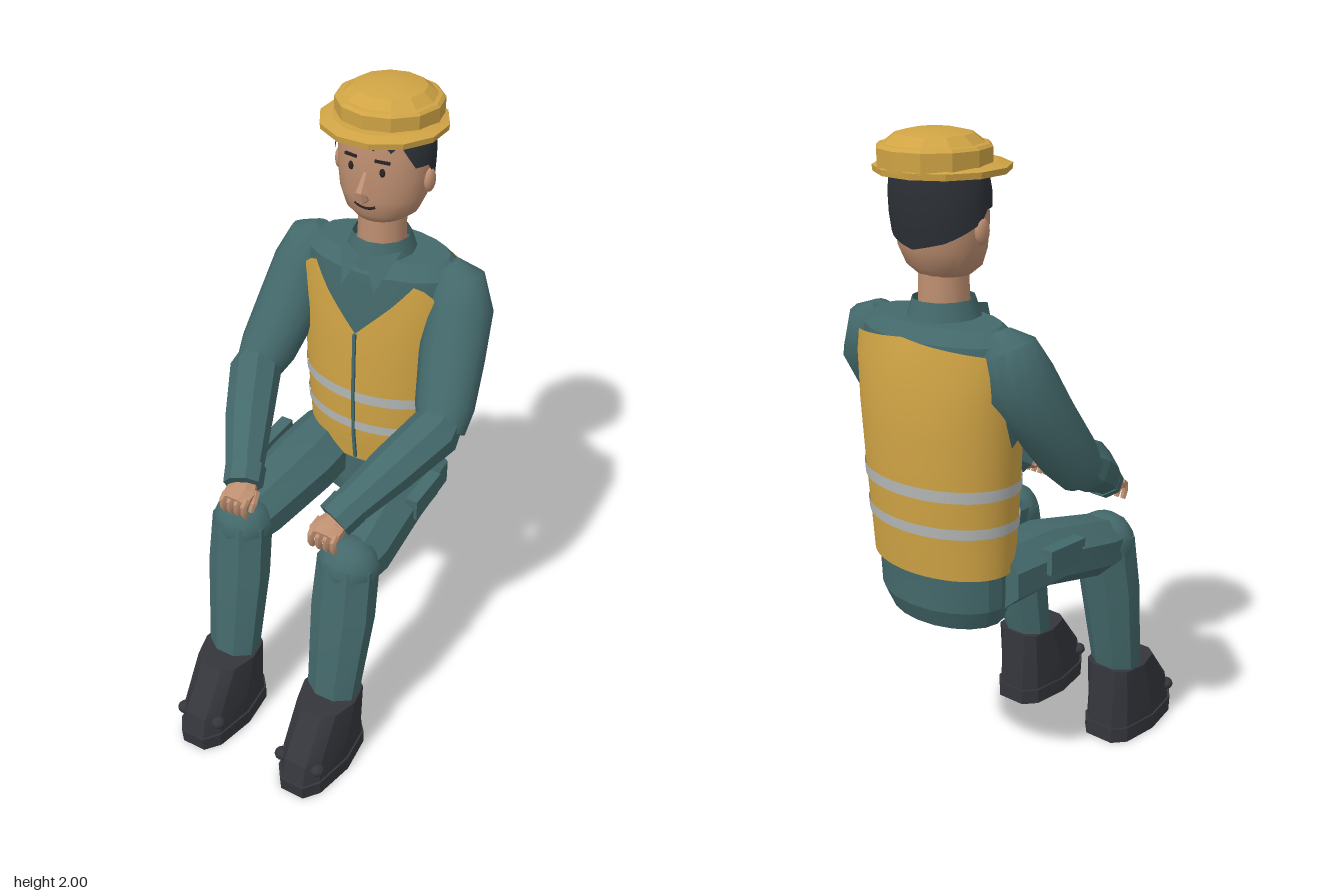
import * as THREE from 'three';
import { toCreasedNormals } from 'three/addons/utils/BufferGeometryUtils.js';

const mat = (name, color, side = THREE.FrontSide) => {
  const m = new THREE.MeshStandardMaterial({ color, side });
  m.name = name;
  return m;
};
const V = (x, y, z) => new THREE.Vector3(x, y, z);

// Piecewise linear lookup in rows [key, value, value...]
function at(rows, k) {
  let i = 1;
  while (i < rows.length - 1 && rows[i][0] < k) i++;
  const a = rows[i - 1], b = rows[i];
  const t = THREE.MathUtils.clamp((k - a[0]) / (b[0] - a[0]), 0, 1);
  return a.slice(1).map((v, n) => v + (b[n + 1] - v) * t);
}

// Skin over closed rings of points
function loft(rings, caps = true, crease = 0.5) {
  const n = rings[0].length, pos = [], idx = [];
  rings.forEach(r => r.forEach(p => pos.push(p.x, p.y, p.z)));
  for (let i = 0; i < rings.length - 1; i++) for (let j = 0; j < n; j++) {
    const a = i * n + j, b = i * n + (j + 1) % n;
    idx.push(a, b, b + n, a, b + n, a + n);
  }
  if (caps) [0, rings.length - 1].forEach((i, end) => {
    const c = rings[i].reduce((s, p) => s.add(p), V(0, 0, 0)).divideScalar(n);
    const k = pos.length / 3;
    pos.push(c.x, c.y, c.z);
    for (let j = 0; j < n; j++) {
      const a = i * n + j, b = i * n + (j + 1) % n;
      idx.push(k, end ? a : b, end ? b : a);
    }
  });
  const g = new THREE.BufferGeometry();
  g.setAttribute('position', new THREE.Float32BufferAttribute(pos, 3));
  g.setIndex(idx);
  return toCreasedNormals(g, crease);
}

// Limb through stations [x, y, z, half width, half depth]
function limb(st, sides = 8, crease = 0.5) {
  const p = st.map(s => V(s[0], s[1], s[2]));
  return loft(st.map((s, i) => {
    const T = p[Math.min(i + 1, p.length - 1)].clone().sub(p[Math.max(i - 1, 0)]).normalize();
    const S = V(1, 0, 0).addScaledVector(T, -T.x).normalize();
    const U = S.clone().cross(T);
    return Array.from({ length: sides }, (_, j) => {
      const a = (j + 0.5) / sides * Math.PI * 2;
      return p[i].clone().addScaledVector(S, Math.sin(a) * s[3]).addScaledVector(U, Math.cos(a) * s[4]);
    });
  }), true, crease);
}

// Body profiles: y, half width, front z, back z
const BODY = [[0.62, 0.19, -0.2, -0.455], [0.68, 0.215, -0.19, -0.48], [0.79, 0.22, -0.2, -0.48],
  [0.9, 0.225, -0.185, -0.49], [1.05, 0.235, -0.178, -0.5], [1.25, 0.25, -0.18, -0.503],
  [1.38, 0.262, -0.19, -0.492], [1.46, 0.255, -0.2, -0.48], [1.5, 0.21, -0.235, -0.45]];
const HEAD = [[1.615, 0.075, -0.24, -0.385], [1.64, 0.11, -0.222, -0.41], [1.69, 0.132, -0.215, -0.428],
  [1.76, 0.142, -0.212, -0.44], [1.84, 0.142, -0.212, -0.445], [1.91, 0.13, -0.225, -0.44]];

function skinPoint(profile, y, a, off = 0) {
  const [w, f, b] = at(profile, y);
  return V((w + off) * Math.sin(a), y, (f + b) / 2 + ((f - b) / 2 + off) * Math.cos(a));
}
// Layer over a profile, between two heights that may vary with the angle from the front
function shell(profile, off, low, high, segs, rows, crease = 0.5) {
  return loft(Array.from({ length: rows + 1 }, (_, i) => Array.from({ length: segs }, (_, j) => {
    const a = j / segs * Math.PI * 2, k = Math.min(a, Math.PI * 2 - a);
    const y = THREE.MathUtils.lerp(low(k, j), high(k, j), i / rows);
    return skinPoint(profile, y, a, off);
  })), false, crease);
}
const solid = (profile, segs, crease) => loft(profile.map(r =>
  Array.from({ length: segs }, (_, j) => skinPoint(profile, r[0], j / segs * Math.PI * 2))), true, crease);

export function createModel() {
  const root = new THREE.Group();
  const cloth = mat('teal cloth', 0x44696b), clothOpen = mat('teal cloth open', 0x44696b, THREE.DoubleSide);
  const yellow = mat('safety yellow', 0xd0a445), vestMat = mat('vest yellow', 0xd0a445, THREE.DoubleSide);
  const silver = mat('reflective grey', 0xb4b8b6, THREE.DoubleSide);
  const skin = mat('skin', 0xbe8f71), hairMat = mat('hair', 0x2c3036, THREE.DoubleSide);
  const boot = mat('boot black', 0x34363c), ink = mat('face dark', 0x2a2322);

  const add = (name, geo, m, x = 0, y = 0, z = 0) => {
    const o = new THREE.Mesh(geo, m);
    o.name = name;
    o.position.set(x, y, z);
    root.add(o);
    return o;
  };
  const ball = (name, m, x, y, z, a, b, c) =>
    add(name, new THREE.SphereGeometry(1, 12, 8), m, x, y, z).scale.set(a, b, c);

  // Torso and vest
  add('torso', solid(BODY, 20, 0.35), cloth);
  const vestTop = [[0, 1.27], [0.68, 1.46], [0.96, 1.41], [1.2, 1.22], [1.6, 1.17], [1.9, 1.38], [2.05, 1.44], [3.14, 1.47]];
  add('vest', shell(BODY, 0.014, () => 0.79, k => at(vestTop, k)[0], 48, 10, 0.4), vestMat);
  [[1.03, 1.065], [0.92, 0.952]].forEach(([a, b]) =>
    add('reflectiveStripe', shell(BODY, 0.018, () => a, () => b, 48, 1), silver));
  add('vestZip', limb([0.8, 0.9, 1.05, 1.27].map(y => {
    const p = skinPoint(BODY, y, 0, 0.017);
    return [0, y, p.z, 0.007, 0.006];
  }), 4), cloth);

  // Collar and neck
  add('collar', new THREE.CylinderGeometry(0.088, 0.115, 0.08, 12, 1, true), clothOpen, 0, 1.51, -0.32);
  add('neck', new THREE.CylinderGeometry(0.07, 0.075, 0.18, 12), skin, 0, 1.56, -0.32);

  // Head, hair and ears
  add('head', solid(HEAD, 24, 1), skin);
  const hairLow = [[0, 1.875], [0.85, 1.87], [1.0, 1.8], [1.4, 1.8], [1.6, 1.77], [2.4, 1.72], [3.14, 1.695]];
  add('hair', shell(HEAD, 0.008, (k, j) => at(hairLow, k)[0] - (k < 0.9 && j % 2 ? 0.025 : 0),
    () => 1.91, 36, 4), hairMat);
  add('nose', limb([[0, 1.775, -0.217, 0.009, 0.008], [0, 1.725, -0.185, 0.017, 0.014],
    [0, 1.705, -0.19, 0.02, 0.015], [0, 1.695, -0.212, 0.014, 0.01]], 6), skin);
  const smile = add('mouth', new THREE.TorusGeometry(0.06, 0.004, 4, 10, 1.2), ink, 0, 1.727, -0.214);
  smile.rotation.z = -Math.PI / 2 - 0.6;

  // Hard hat
  const lathe = (pts, n) => toCreasedNormals(
    new THREE.LatheGeometry(pts.map(p => new THREE.Vector2(...p)), n), 0.2);
  add('hatBrim', lathe([[0, 1.895], [0.184, 1.888], [0.186, 1.905], [0.15, 1.915], [0, 1.915]], 12),
    yellow, 0, 0, -0.315).rotation.y = Math.PI / 12;
  add('hatCrown', lathe([[0.155, 1.9], [0.156, 1.955], [0.147, 1.963], [0.135, 1.965],
    [0.105, 1.988], [0.06, 1.998], [0, 2]], 12), yellow, 0, 0, -0.345);

  for (const s of [1, -1]) {
    const side = st => st.map(([x, ...r]) => [x * s, ...r]);

    // Collar flap
    const flap = new THREE.BufferGeometry().setFromPoints(
      [V(0.008 * s, 1.51, -0.205), V(0.1 * s, 1.535, -0.255), V(0.055 * s, 1.42, -0.178)]);
    flap.computeVertexNormals();
    if (s > 0) flap.setIndex([0, 2, 1]);
    flap.computeVertexNormals();
    add('collarFlap', flap, clothOpen);

    // Face details
    const eye = skinPoint(HEAD, 1.785, 0.36 * s);
    ball('eye', ink, eye.x, eye.y, eye.z, 0.009, 0.013, 0.006);
    const brow = skinPoint(HEAD, 1.818, 0.36 * s);
    add('eyebrow', new THREE.BoxGeometry(0.044, 0.008, 0.009), ink, brow.x, brow.y, brow.z)
      .rotation.set(0, 0.25 * s, -0.08 * s);
    ball('ear', skin, 0.145 * s, 1.745, -0.325, 0.015, 0.036, 0.025);

    // Arm
    add('upperArm', limb(side([[0.215, 1.49, -0.34, 0.03, 0.035], [0.24, 1.45, -0.34, 0.083, 0.08],
      [0.265, 1.36, -0.32, 0.1, 0.102], [0.285, 1.24, -0.245, 0.1, 0.09],
      [0.31, 1.12, -0.165, 0.09, 0.083], [0.325, 1.06, -0.12, 0.07, 0.07]]), 14, 0.9), cloth);
    add('forearm', limb(side([[0.325, 1.11, -0.15, 0.06, 0.055], [0.316, 1.075, -0.1, 0.08, 0.08],
      [0.25, 1.0, 0.04, 0.074, 0.068], [0.175, 0.91, 0.185, 0.057, 0.052]]), 8), cloth);
    add('cuff', limb(side([[0.182, 0.92, 0.165, 0.063, 0.058], [0.16, 0.89, 0.215, 0.061, 0.056]]), 8), cloth);

    // Hand
    add('palm', limb(side([[0.162, 0.885, 0.2, 0.04, 0.028], [0.155, 0.875, 0.235, 0.052, 0.028],
      [0.155, 0.865, 0.275, 0.048, 0.022]]), 8), skin);
    for (let i = 0; i < 4; i++) {
      const x = 0.155 + (i - 1.5) * 0.025;
      add('finger', limb(side([[x, 0.878, 0.26, 0.011, 0.012], [x, 0.865, 0.278, 0.011, 0.012],
        [x, 0.84, 0.277, 0.011, 0.011], [x, 0.82, 0.268, 0.009, 0.009]]), 6), skin);
    }
    add('thumb', limb(side([[0.115, 0.88, 0.215, 0.014, 0.014], [0.104, 0.86, 0.245, 0.012, 0.012],
      [0.108, 0.835, 0.255, 0.009, 0.009]]), 6), skin);

    // Leg
    add('thigh', limb(side([[0.155, 0.755, -0.315, 0.115, 0.1], [0.16, 0.755, -0.1, 0.125, 0.095],
      [0.188, 0.712, 0.12, 0.102, 0.095], [0.19, 0.71, 0.2, 0.09, 0.075]]), 8), cloth);
    ball('knee', cloth, 0.19 * s, 0.712, 0.178, 0.1, 0.09, 0.088);
    add('shin', limb(side([[0.19, 0.73, 0.183, 0.098, 0.08], [0.19, 0.55, 0.212, 0.104, 0.075],
      [0.187, 0.25, 0.262, 0.086, 0.064], [0.187, 0.18, 0.27, 0.07, 0.055]]), 8), cloth);
    add('thighPocket', new THREE.BoxGeometry(0.03, 0.07, 0.14), cloth, 0.272 * s, 0.785, -0.13).rotation.x = 0.05;
    add('pocketFlap', new THREE.BoxGeometry(0.04, 0.025, 0.155), cloth, 0.272 * s, 0.815, -0.13).rotation.x = 0.05;

    // Boot: plan outline scaled per height
    const half = [[0.4, 1], [0.76, 0.86], [1, 0.48], [0.86, 0.12], [0.5, 0]];
    const plan = [...half, ...half.map(([u, v]) => [-u, v]).reverse()];
    const bootPart = (name, rows) => add(name, loft(rows.map(([y, b, f, w]) =>
      plan.map(([u, v]) => V(0.188 * s + u * w, y, b + (f - b) * v))), true, 0.3), boot);
    bootPart('bootSole', [[0, 0.176, 0.515, 0.1], [0.05, 0.175, 0.52, 0.1]]);
    bootPart('bootUpper', [[0.045, 0.18, 0.512, 0.094], [0.12, 0.185, 0.495, 0.092], [0.255, 0.19, 0.395, 0.092]]);
    [[0.122, 0.1, 0.465], [0.25, 0.1, 0.465], [0.155, 0.165, 0.44], [0.222, 0.165, 0.44]].forEach(([x, y, z], i) =>
      ball('bootStud', boot, x * s, y, z, i < 2 ? 0.024 : 0.012, i < 2 ? 0.02 : 0.012, i < 2 ? 0.024 : 0.012));
  }
  return root;
}
